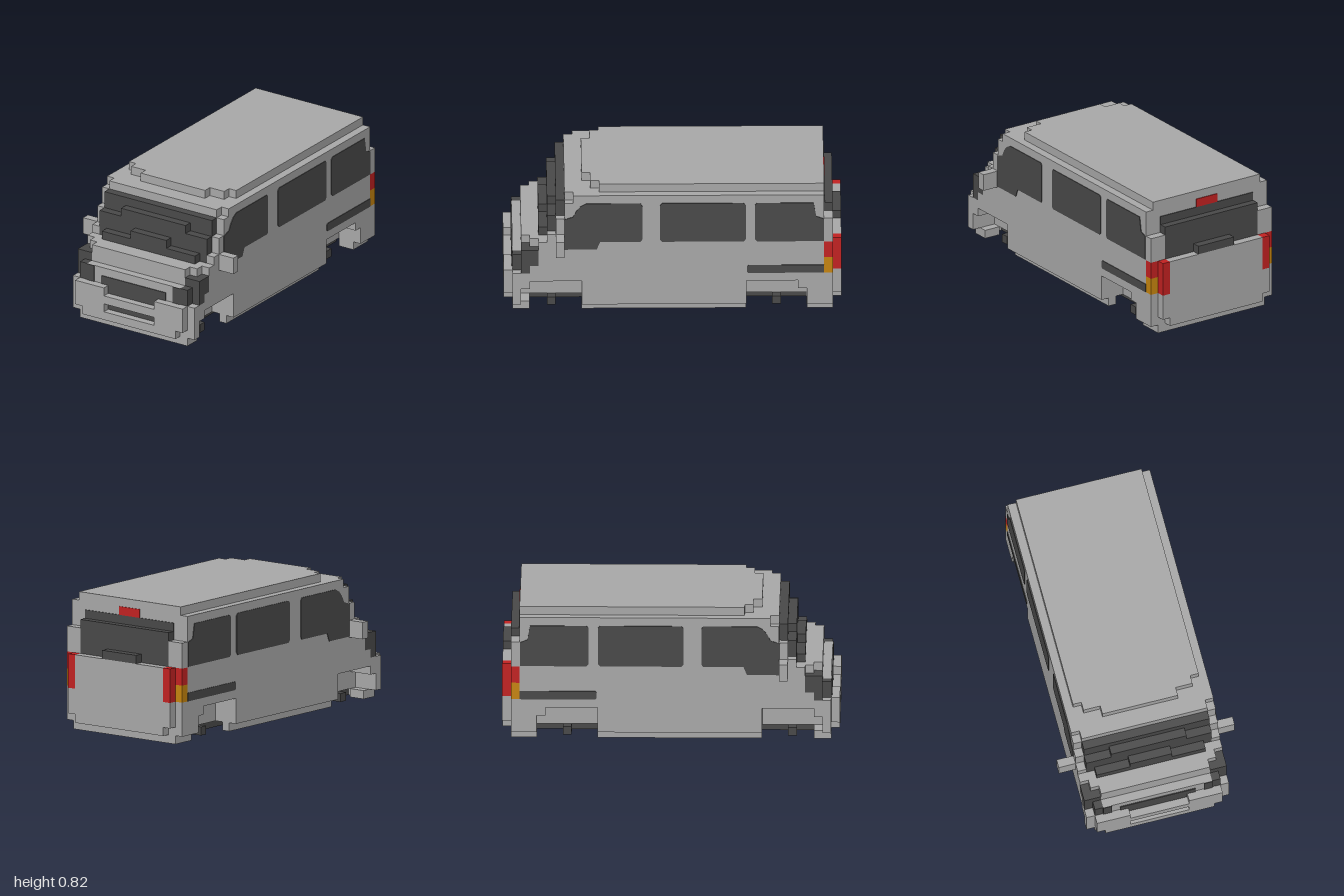
import * as THREE from 'three';

const U = 2 / 39; // one block; x and y in blocks, k counts blocks from the rear

export function createModel() {
  const van = new THREE.Group();
  van.name = 'van';
  const mat = (name, color) => {
    const m = new THREE.MeshStandardMaterial({ color });
    m.name = name;
    return m;
  };
  const grey = mat('bodyGrey', 0xaaaaaa);
  const dark = mat('darkGlass', 0x4a4a4a);
  const red = mat('lampRed', 0xc42222);
  const amber = mat('lampAmber', 0xc8860f);

  const add = (name, geometry, material) => {
    const m = new THREE.Mesh(geometry, material);
    m.name = name;
    van.add(m);
    return m;
  };
  const box = (name, material, x0, x1, y0, y1, k0, k1) => {
    const m = add(name, new THREE.BoxGeometry((x1 - x0) * U, (y1 - y0) * U, (k1 - k0) * U), material);
    m.position.set((x0 + x1) / 2 * U, (y0 + y1) / 2 * U, (k0 + k1) / 2 * U - 1);
  };
  const pair = (name, material, x0, x1, ...rest) => {
    box(name + 'Left', material, x0, x1, ...rest);
    box(name + 'Right', material, -x1, -x0, ...rest);
  };
  // Side outline (z, y) extruded across from x0 to x1, in units
  const extrudeX = (name, material, x0, x1, pts) => {
    const shape = new THREE.Shape(pts.map(p => new THREE.Vector2(p[0], p[1])));
    const g = new THREE.ExtrudeGeometry(shape, { depth: x1 - x0, bevelEnabled: false });
    g.rotateY(-Math.PI / 2).translate(x1, 0, 0);
    add(name, g, material);
  };
  const slice = (name, x0, x1, pts) =>
    extrudeX(name, grey, x0 * U, x1 * U, pts.map(([k, y]) => [k * U - 1, y * U]));
  const slices = (name, x0, x1, pts) => {
    slice(name + 'Left', x0, x1, pts);
    slice(name + 'Right', -x1, -x0, pts);
  };

  // Body slices, from the middle out; the outer ones have wheel arches
  const noseMid = [[38, 1], [38, 7], [37, 7], [37, 9], [32, 9], [32, 15], [2, 15], [2, 9], [1, 9], [1, 1]];
  const arches = [[4, 1], [4, 3], [5, 3], [5, 4], [11, 4], [11, 1],
    [30, 1], [30, 4], [36, 4], [36, 3], [37, 3], [37, 1]];
  slice('bodyCore', -3.5, 3.5, [...noseMid, [12, 1], [12, 2], [28, 2], [28, 1]]);
  slices('bodyInner', 3.5, 5.5, noseMid);
  slices('bodyMiddle', 5.5, 6.5, [...noseMid, ...arches]);
  slices('bodyShoulder', 6.5, 7.5, [[38, 1], [38, 5], [36, 5], [36, 9], [32, 9], [32, 15],
    [2, 15], [2, 12], [1, 12], [1, 1], ...arches]);
  slices('bodySide', 7.5, 8.5, [[38, 1], [38, 5], [36, 5], [36, 6], [35, 6], [35, 9], [34, 9], [34, 10],
    [33, 10], [33, 12], [32, 12], [32, 14], [31, 14], [31, 15], [2, 15], [2, 12], [1, 12], [1, 9],
    [2, 9], [2, 5], [1, 5], [1, 1], ...arches]);

  // Raised roof with stepped front corners
  box('roof', grey, -4.5, 4.5, 15, 16, 2, 30);
  pair('roofEdge', grey, 4.5, 6.5, 15, 16, 2, 29);
  pair('roofRim', grey, 6.5, 7.5, 15, 16, 2, 28);

  // Stepped windscreen
  box('windscreenTop', dark, -7.5, 7.5, 9, 14, 32, 33);
  box('windscreenMiddle', dark, -7.5, 7.5, 9, 12, 33, 34);
  box('windscreenMiddleStep', dark, -4.5, 4.5, 12, 13, 33, 34);
  box('windscreenLow', dark, -6.5, 6.5, 9, 10, 34, 35);
  box('windscreenLowStep', dark, -2.5, 2.5, 10, 11, 34, 35);

  // Bumper with an open slot, and the grille behind it
  box('bumperLip', grey, -6.5, 6.5, 1, 2, 38, 39);
  pair('bumperSlotSide', grey, 3.5, 7.5, 2, 3, 38, 39);
  box('bumperBar', grey, -7.5, 7.5, 3, 4, 38, 39);
  pair('bumperTop', grey, 3.5, 7.5, 4, 5, 38, 39);
  box('bumperSlot', dark, -3.5, 3.5, 2, 3, 38, 38.1);
  box('grilleLow', dark, -3.5, 3.5, 4, 5, 38, 38.1);
  box('grilleTop', dark, -4.5, 4.5, 5, 6, 38, 38.1);

  // Headlights wrapping the corners
  pair('headlightInner', dark, 5.5, 6.5, 5, 7, 38, 38.1);
  pair('headlightFront', dark, 6.5, 7.5, 5, 7, 36, 38);
  pair('headlightBrow', dark, 6.5, 7.5, 7, 8, 36, 37);
  pair('headlightSide', dark, 7.5, 8.5, 6, 8, 35, 37);
  pair('headlightSideLow', dark, 7.5, 8.5, 5, 6, 36, 37);

  // Mirrors
  pair('mirror', grey, 8.5, 10.5, 8, 10, 32, 33);

  // Tailgate, rear window and rear lamps
  box('tailgate', grey, -6.5, 6.5, 1, 9, 0, 1);
  pair('rearBumperCorner', grey, 6.5, 7.5, 2, 5, 0, 1);
  box('rearWindow', dark, -6.5, 6.5, 9, 13, 1, 2);
  box('rearWindowTop', dark, -6.5, 6.5, 13, 14, 1.9, 2);
  box('rearWindowLedge', dark, -2.5, 2.5, 9, 10, 0, 1);
  box('highBrakeLight', red, -1.5, 1.5, 14, 15, 1.9, 2);
  pair('tailLight', red, 6.5, 7.5, 5, 9, 0, 1);
  pair('tailLightSide', red, 7.5, 8.5, 7, 9, 1, 2);
  pair('turnSignal', amber, 7.5, 8.5, 5, 7, 1, 2);

  // Side glass and vent strip
  const glass = {
    frontSideWindow: [[.18, .48], [.19, .465], [.43, .465], [.45, .415], [.645, .415], [.645, .612],
      [.59, .63], [.57, .67], [.545, .7], [.51, .718], [.19, .718], [.18, .7]],
    middleSideWindow: [[.075, .48], [.075, .705], [.062, .718], [-.42, .718], [-.433, .705],
      [-.433, .48], [-.42, .465], [.062, .465]],
    rearSideWindow: [[-.487, .48], [-.487, .705], [-.5, .718], [-.835, .718], [-.85, .63],
      [-.895, .612], [-.895, .465], [-.5, .465]],
    sideVent: [[-.44, .265], [-.44, .3], [-.448, .308], [-.896, .308], [-.896, .257], [-.448, .257]],
  };
  const side = 8.5 * U;
  for (const [name, pts] of Object.entries(glass)) {
    extrudeX(name + 'Left', dark, side, side + 0.004, pts);
    extrudeX(name + 'Right', dark, -side - 0.004, -side, pts);
  }

  // Underside: skirts and sills
  box('frontSkirt', grey, -7.5, 7.5, 0, 1, 37, 38);
  pair('frontSkirtCorner', grey, 5.5, 7.5, 0, 1, 36, 37);
  box('rearSkirt', grey, -7.5, 7.5, 0, 1, 1, 2);
  pair('rearSkirtCorner', grey, 5.5, 7.5, 0, 1, 2, 4);
  pair('sill', grey, 6.5, 7.5, 0, 1, 11, 30);

  // Dark chassis rails, axles and cross members
  pair('chassisRail', dark, 3.5, 4.5, 0, 1, 3, 37);
  for (const k of [7, 33]) box('axle', dark, -6.5, 6.5, 0, 1, k, k + 1);
  for (const k of [11, 29]) box('crossMember', dark, -3.5, 3.5, 0, 1, k, k + 1);
  return van;
}
